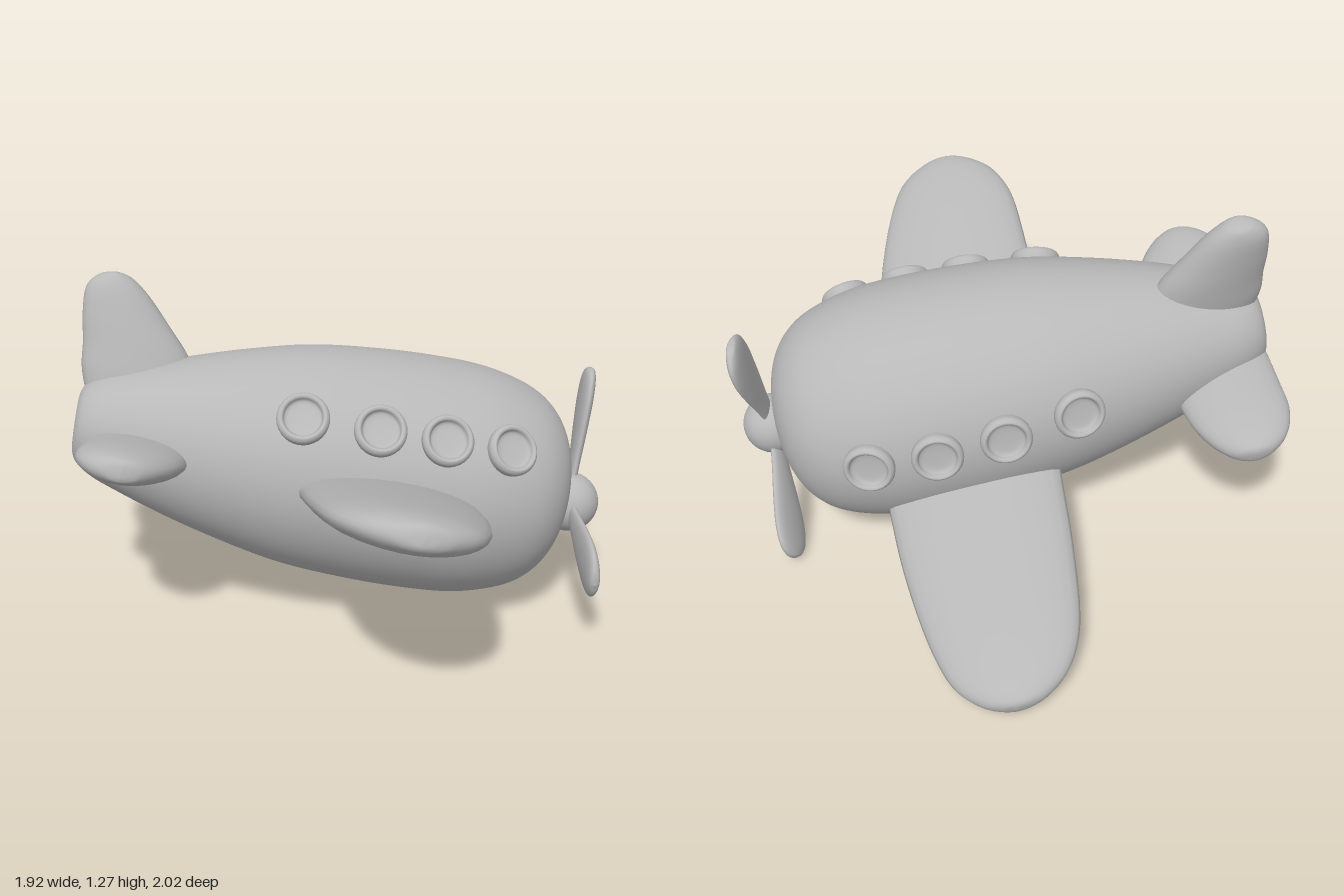
import * as THREE from 'three';

const grey = new THREE.MeshStandardMaterial({ color: 0xb8b8b8 });
grey.name = 'grey';

function part(name, geometry, parent) {
  const mesh = new THREE.Mesh(geometry, grey);
  mesh.name = name;
  parent.add(mesh);
  return mesh;
}

// Smooth lens-section blade growing along +y.
// Sections: [span, distance behind the hub, half chord]; the last one closes the tip.
function bladeGeometry(sections, halfThickness) {
  const curve = new THREE.CatmullRomCurve3(sections.map((s) => new THREE.Vector3(...s)));
  const widest = Math.max(...sections.map((s) => s[2]));
  const rows = 48, sides = 28, positions = [], index = [];
  for (let i = 0; i <= rows; i++) {
    const p = curve.getPoint(i / rows);
    const half = Math.max(p.z, 0);
    const thick = halfThickness * Math.pow(half / widest, 0.55);
    for (let j = 0; j < sides; j++) {
      const a = (j / sides) * Math.PI * 2;
      positions.push(Math.cos(a) * thick, p.x, -p.y + Math.sin(a) * half);
      if (i === rows) continue;
      const b = i * sides + j, c = i * sides + ((j + 1) % sides);
      index.push(b, b + sides, c, c, b + sides, c + sides);
    }
  }
  const geometry = new THREE.BufferGeometry();
  geometry.setAttribute('position', new THREE.Float32BufferAttribute(positions, 3));
  geometry.setIndex(index);
  geometry.computeVertexNormals();
  return geometry;
}

// Fuselage profile from tail to nose: [radius, position along the axis]
const profile = new THREE.SplineCurve([
  [0, -1.83], [0.065, -1.845], [0.088, -1.865], [0.14, -1.848], [0.185, -1.79], [0.227, -1.69],
  [0.294, -1.5], [0.36, -1.27], [0.408, -1.05], [0.432, -0.8], [0.438, -0.58], [0.428, -0.4],
  [0.388, -0.24], [0.328, -0.14], [0.24, -0.075], [0.12, -0.04], [0, -0.035],
].map((p) => new THREE.Vector2(...p)));
const outline = profile.getPoints(96);
outline.forEach((p) => { p.x = Math.max(p.x, 0); });

// Radius of the fuselage at a distance behind the hub
function bodyRadius(distance) {
  const i = outline.findIndex((p, k) => k > 20 && p.y >= -distance);
  const a = outline[i - 1], b = outline[i];
  return a.x + ((b.x - a.x) * (-distance - a.y)) / (b.y - a.y);
}

export function createModel() {
  const model = new THREE.Group();
  model.name = 'toyPlane';

  // Flying attitude: nose along local +z, origin at the propeller hub
  const plane = new THREE.Group();
  plane.name = 'plane';
  const forward = new THREE.Vector3(0.655, -0.185, 0.733).normalize();
  const up = new THREE.Vector3(0.36, 0.931, -0.066);
  const left = new THREE.Vector3().crossVectors(up, forward).normalize();
  up.crossVectors(forward, left);
  plane.quaternion.setFromRotationMatrix(new THREE.Matrix4().makeBasis(left, up, forward));
  plane.position.set(0.58, 0.42, 0.68);
  model.add(plane);

  const body = new THREE.Group();
  body.name = 'body';
  body.position.set(0.02, 0.015, 0);
  body.rotation.y = 0.017;
  plane.add(body);
  part('fuselage', new THREE.LatheGeometry(outline, 64).rotateX(Math.PI / 2), body);

  // Wings and tail planes
  const wing = bladeGeometry([
    [0.2, 0.74, 0.33], [0.4, 0.74, 0.32], [0.7, 0.755, 0.3], [1.0, 0.775, 0.25],
    [1.13, 0.775, 0.19], [1.2, 0.775, 0.11], [1.222, 0.775, 0.055], [1.23, 0.775, 0],
  ], 0.087);
  const tailPlane = bladeGeometry([
    [0.05, 1.66, 0.18], [0.25, 1.67, 0.187], [0.4, 1.69, 0.172], [0.5, 1.7, 0.125],
    [0.55, 1.7, 0.07], [0.562, 1.7, 0.035], [0.567, 1.7, 0],
  ], 0.07);
  for (const [side, label, wingShift, tailShift] of [
    [1, 'left', 0.025, -0.012], [-1, 'right', -0.008, 0.035],
  ]) {
    const w = part(label + 'Wing', wing, plane);
    w.rotation.z = -side * Math.PI / 2;
    w.position.set(0.02, -0.085, wingShift);
    const t = part(label + 'TailPlane', tailPlane, plane);
    t.rotation.z = -side * Math.PI / 2 + 0.09;
    t.position.set(-0.008, -0.035, tailShift);
  }

  // Upright tail fin
  const fin = part('tailFin', bladeGeometry([
    [0.05, 1.64, 0.19], [0.2, 1.67, 0.21], [0.3, 1.7, 0.19], [0.4, 1.75, 0.155],
    [0.5, 1.795, 0.108], [0.545, 1.805, 0.06], [0.557, 1.805, 0.03], [0.562, 1.805, 0],
  ], 0.087), plane);
  fin.rotation.z = 0.04;
  fin.position.set(-0.015, 0.008, 0.01);

  // Round windows: raised rim with a dished centre
  const porthole = new THREE.LatheGeometry(new THREE.SplineCurve([
    [0.086, -0.035], [0.092, 0], [0.09, 0.016], [0.08, 0.027], [0.07, 0.023],
    [0.064, 0.01], [0.05, 0.004], [0.02, 0.002], [0, 0.002],
  ].map((p) => new THREE.Vector2(...p))).getPoints(32), 32);
  const windowRows = [
    ['left', 1, 0.18, [0.385, 0.625, 0.87, 1.135]],
    ['right', -1, 0.145, [0.36, 0.595, 0.83, 1.095]],
  ];
  for (const [label, side, height, distances] of windowRows) {
    distances.forEach((distance, i) => {
      const r = bodyRadius(distance);
      const slope = (bodyRadius(distance - 0.06) - bodyRadius(distance + 0.06)) / 0.12;
      const across = side * Math.sqrt(r * r - height * height);
      const normal = new THREE.Vector3(across / r, height / r, -slope).normalize();
      const p = part(label + 'Window' + (i + 1), porthole, body);
      p.position.set(across, height, -distance).addScaledVector(normal, 0.006);
      p.quaternion.setFromUnitVectors(new THREE.Vector3(0, 1, 0), normal);
    });
  }

  // Propeller: each blade has its own pitch and angle
  const propeller = new THREE.Group();
  propeller.name = 'propeller';
  propeller.position.y = -0.015;
  plane.add(propeller);
  part('hub', new THREE.SphereGeometry(0.113, 40, 28), propeller);
  const blade = bladeGeometry([
    [0.05, 0, 0.04], [0.15, 0, 0.055], [0.3, 0, 0.088], [0.4, 0, 0.1],
    [0.47, 0, 0.085], [0.505, 0, 0.047], [0.517, 0, 0],
  ], 0.027);
  [[-0.14, 0], [0.2, 2.06], [0.25, 4.28]].forEach(([pitch, angle], i) => {
    const b = part('propellerBlade' + (i + 1), blade.clone().rotateY(Math.PI / 2 + pitch), propeller);
    b.rotation.z = angle;
  });

  return model;
}
